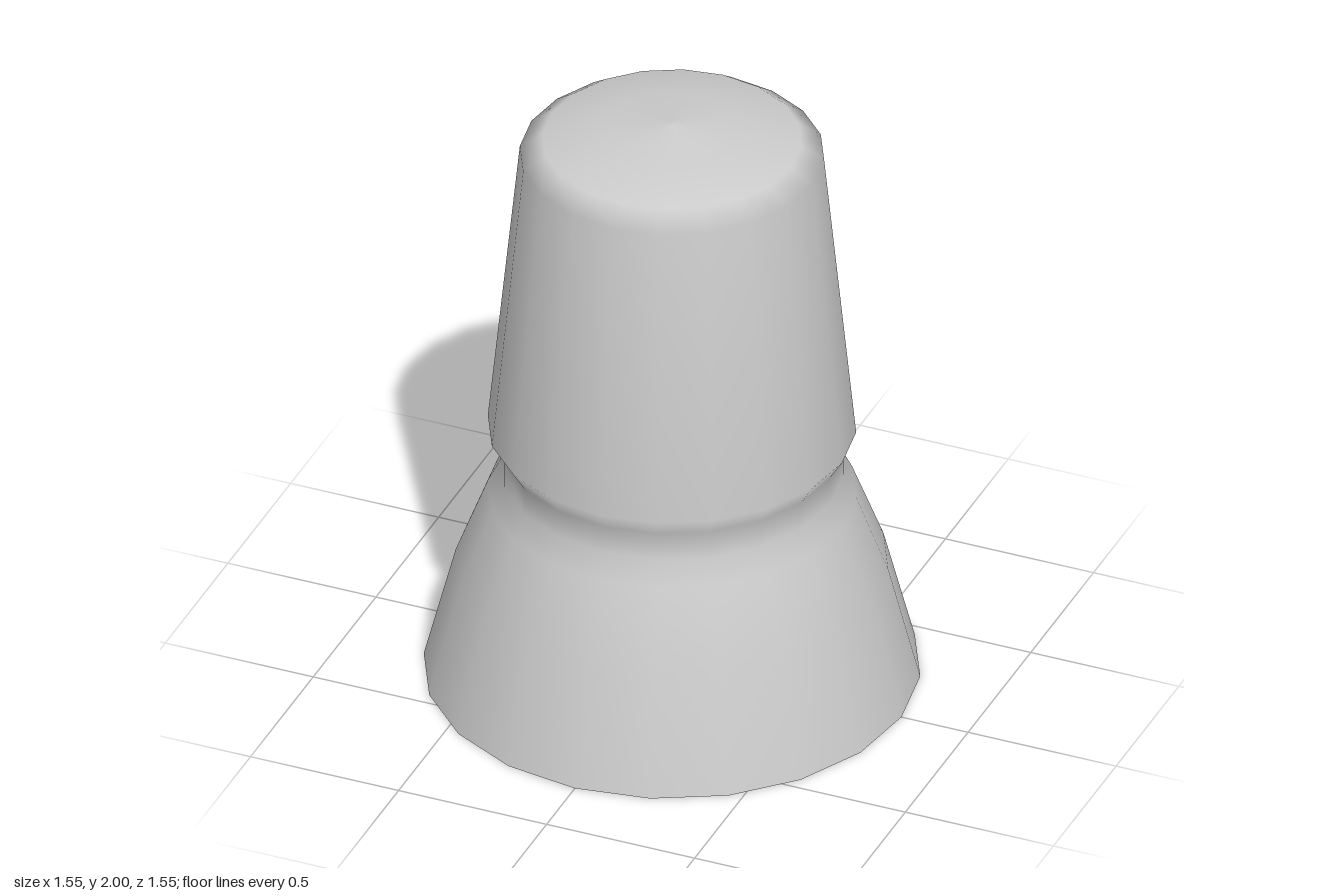
import * as THREE from 'three';

const SIDES = 20;

export function createModel() {
  const group = new THREE.Group();
  const material = new THREE.MeshStandardMaterial({ color: 0xcccccc });

  // Outer profile (radius, height): flared skirt, narrow neck, tapered cap, domed top
  const profile = [
    [0.775, 0], [0.675, 0.39], [0.575, 0.65], [0.535, 0.73],
    [0.535, 0.825], [0.575, 0.89],
    [0.475, 1.89], [0.405, 1.94], [0.225, 1.973], [0, 2],
  ].map(([r, y]) => new THREE.Vector2(r, y));

  const body = new THREE.Mesh(new THREE.LatheGeometry(profile, SIDES), material);
  body.name = 'body';
  group.add(body);

  // Flat underside with a sharp rim
  const underside = new THREE.Mesh(new THREE.CircleGeometry(0.775, SIDES), material);
  underside.rotation.x = Math.PI / 2;
  underside.name = 'underside';
  group.add(underside);

  return group;
}
